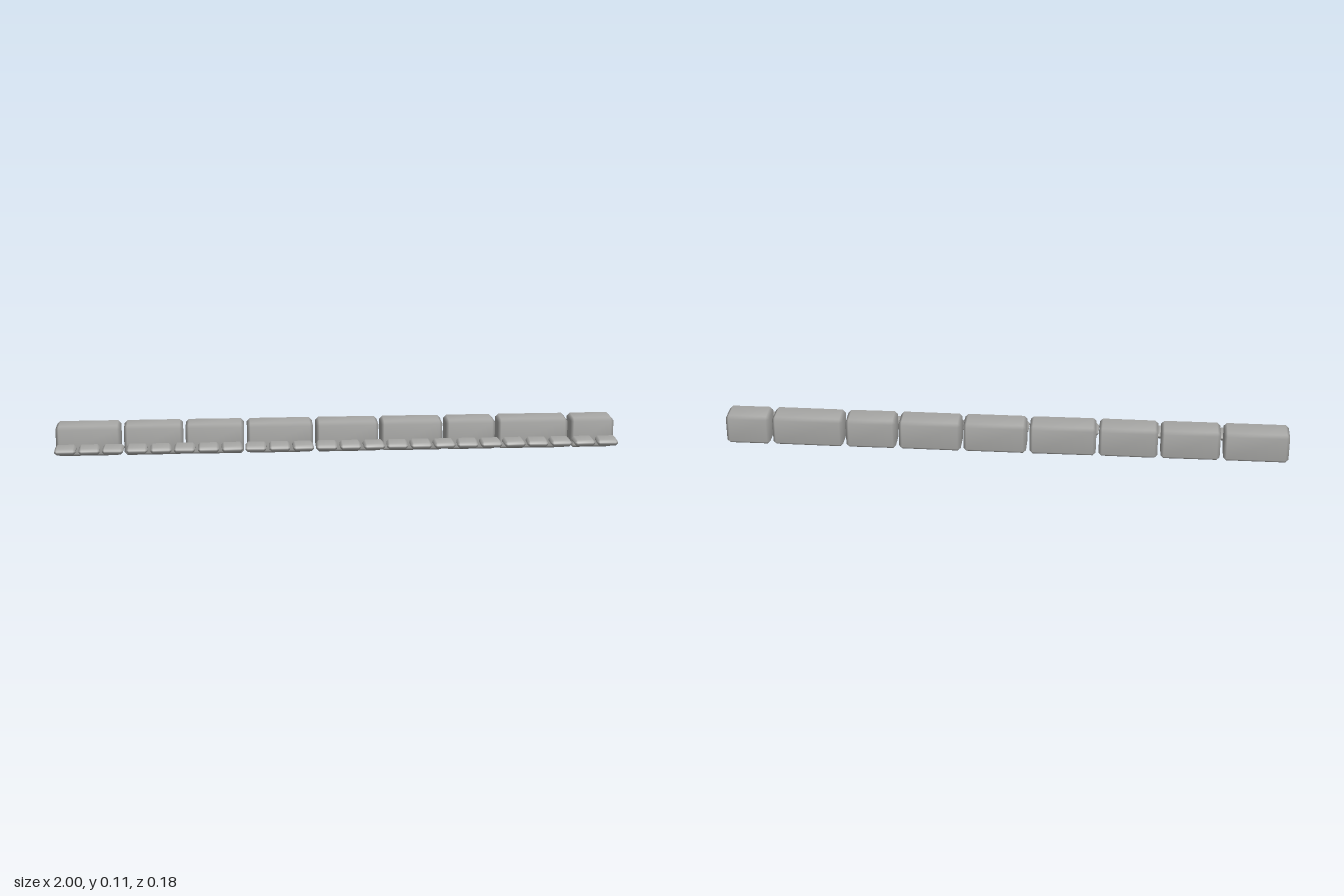
import * as THREE from 'three';
import { mergeVertices } from 'three/addons/utils/BufferGeometryUtils.js';
import { ConvexGeometry } from 'three/addons/geometries/ConvexGeometry.js';

// Box with one flat chamfer along each edge and softly blended normals
function chamferBox(w, h, d, c) {
  const points = [];
  for (const x of [-1, 1]) for (const y of [-1, 1]) for (const z of [-1, 1]) {
    const [X, Y, Z] = [w / 2, h / 2, d / 2];
    points.push(
      new THREE.Vector3(x * X, y * (Y - c), z * (Z - c)),
      new THREE.Vector3(x * (X - c), y * Y, z * (Z - c)),
      new THREE.Vector3(x * (X - c), y * (Y - c), z * Z)
    );
  }
  const hull = new ConvexGeometry(points);
  hull.deleteAttribute('normal');
  const geometry = mergeVertices(hull, 1e-5);
  geometry.computeVertexNormals();
  return geometry;
}

export function createModel() {
  const model = new THREE.Group();
  model.name = 'kerb';
  const stone = new THREE.MeshStandardMaterial({ color: 0xa9a9a7 });
  stone.name = 'grey stone';

  const add = (name, geometry, x, y, z, yaw) => {
    const mesh = new THREE.Mesh(geometry, stone);
    mesh.name = name;
    mesh.position.set(x, y, z);
    mesh.rotation.y = yaw;
    model.add(mesh);
  };

  // Kerb blocks of uneven length, laid end to end
  const spans = [
    [-0.998, -0.77], [-0.758, -0.55], [-0.54, -0.333], [-0.322, -0.088], [-0.076, 0.146],
    [0.156, 0.376], [0.388, 0.566], [0.577, 0.829], [0.84, 0.996],
  ];
  spans.forEach(([a, b], i) => {
    add(`kerbBlock${i + 1}`, chamferBox(b - a, 0.108, 0.099, 0.011),
      (a + b) / 2, 0.054, -0.039, 0.008 * Math.sin(i * 2.4));
  });

  // Row of small, slightly turned paving setts along the front
  const count = 24, pitch = 2 / count;
  const sett = chamferBox(0.073, 0.023, 0.073, 0.0085);
  for (let i = 0; i < count; i++) {
    add(`pavingSett${i + 1}`, sett, -1 + pitch * (i + 0.5) - 0.003 * (1 - 2 * i / (count - 1)),
      0.0365, 0.051, 0.045 * Math.sin(i * 2.1));
  }
  return model;
}
